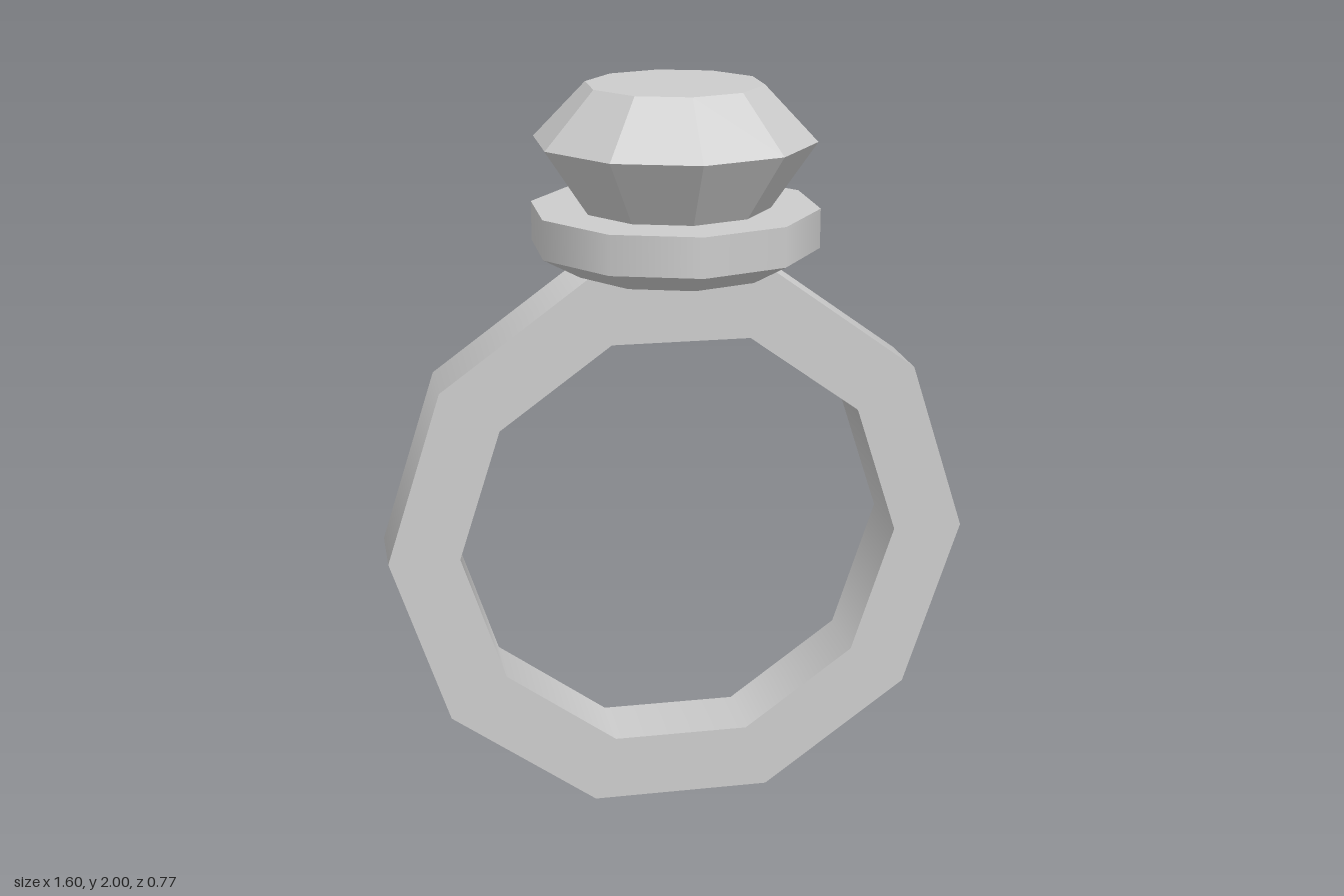
import * as THREE from 'three';
import { mergeGeometries } from 'three/addons/utils/BufferGeometryUtils.js';

const SIDES = 10;

// Turns a profile of [radius, y] points, keeping a hard edge at every profile point.
function turned(name, profile, flatShading) {
  const pieces = [];
  for (let i = 0; i < profile.length - 1; i++) {
    const pair = [profile[i], profile[i + 1]].map(([r, y]) => new THREE.Vector2(r, y));
    pieces.push(new THREE.LatheGeometry(pair, SIDES));
  }
  const material = new THREE.MeshStandardMaterial({ color: 0xcccccc, flatShading });
  const mesh = new THREE.Mesh(mergeGeometries(pieces), material);
  mesh.name = name;
  return mesh;
}

export function createModel() {
  const ring = new THREE.Group();
  ring.name = 'ring';

  // Finger band: rectangular section, turned upright with corners at left and right
  const band = turned('band', [
    [0.797, -0.1], [0.797, 0.1], [0.605, 0.1], [0.605, -0.1], [0.797, -0.1],
  ], false);
  band.geometry.rotateY(Math.PI / 2).rotateX(Math.PI / 2);
  band.position.y = 0.758;
  ring.add(band);

  // Setting: faceted underside, smooth rim and flat top
  const setting = new THREE.Group();
  setting.name = 'setting';
  setting.add(
    turned('settingUnderside', [[0, 1.517], [0.28, 1.517], [0.385, 1.575]], true),
    turned('settingRim', [[0.385, 1.575], [0.385, 1.68], [0, 1.68]], false),
  );
  ring.add(setting);

  // Cut stone: tapered pavilion, girdle, crown and flat table
  ring.add(turned('gem', [[0.255, 1.68], [0.375, 1.855], [0.235, 2], [0, 2]], true));

  // The whole ring is turned slightly about the vertical
  ring.rotation.y = -0.034;

  const model = new THREE.Group();
  model.name = 'gemRing';
  model.add(ring);
  return model;
}
